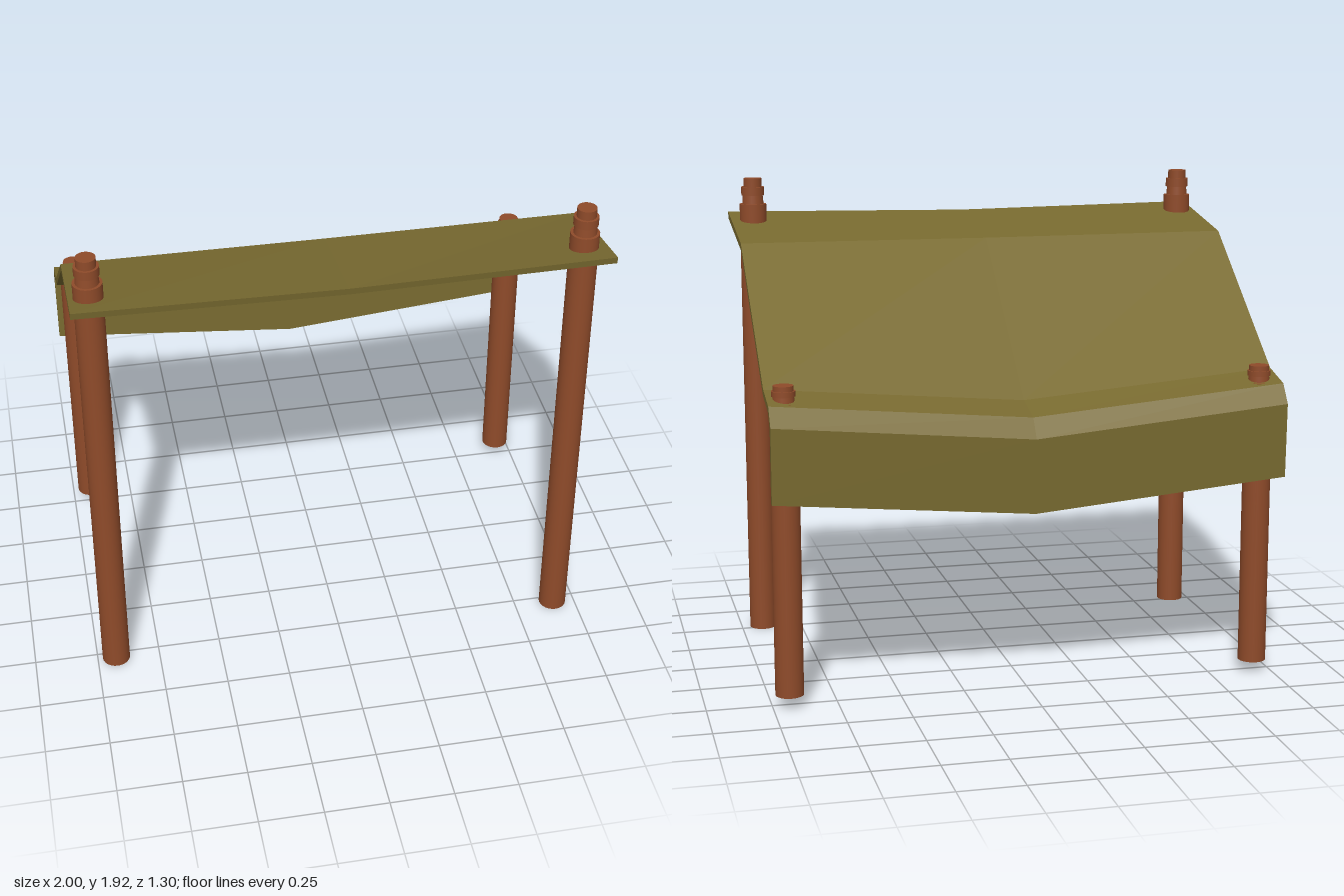
import * as THREE from 'three';

const wood = new THREE.MeshStandardMaterial({ color: 0x8f4b2a });
const cloth = new THREE.MeshStandardMaterial({ color: 0x786a30, flatShading: true });

// Canopy profile, front to back: [z, y] above and below, and the sag at mid-span
const upper = [[0.652, 1.772], [0.19, 1.69], [-0.45, 1.218], [-0.595, 1.182], [-0.648, 1.11], [-0.64, 0.82]];
const lower = [[0.648, 1.745], [0.19, 1.662], [-0.44, 1.192], [-0.583, 1.158], [-0.623, 1.1], [-0.615, 0.82]];
const sag = [0.015, 0.003, 0.085, 0.088, 0.09, 0.09];

function makeCanopy() {
  const n = upper.length;
  const section = (x) => {
    const at = (row) => row.map(([z, y], j) => [x, y - sag[j] * (1 - Math.abs(x)), z]);
    return [...at(upper), ...at(lower).reverse()];
  };
  const sections = [-1, 0, 1].map(section);
  const pos = [];
  const quad = (a, b, c, d) => pos.push(...a, ...b, ...c, ...a, ...c, ...d);

  // Skin around the profile
  for (let i = 0; i < 2; i++) {
    const s = sections[i], t = sections[i + 1];
    for (let j = 0; j < 2 * n; j++) {
      const k = (j + 1) % (2 * n);
      quad(s[j], t[j], t[k], s[k]);
    }
  }
  // Side edges
  const [l, , r] = sections;
  for (let j = 0; j < n - 1; j++) {
    const p = 2 * n - 1 - j;
    quad(l[j], l[j + 1], l[p - 1], l[p]);
    quad(r[j], r[p], r[p - 1], r[j + 1]);
  }
  const geo = new THREE.BufferGeometry();
  geo.setAttribute('position', new THREE.Float32BufferAttribute(pos, 3));
  geo.computeVertexNormals();
  const mesh = new THREE.Mesh(geo, cloth);
  mesh.name = 'canopy';
  return mesh;
}

// Post of stacked cylinders: tiers are [bottom y, top y, bottom radius, top radius]
function makePost(name, x, z, tiers) {
  const post = new THREE.Group();
  post.name = name;
  tiers.forEach(([y0, y1, r0, r1], i) => {
    const mesh = new THREE.Mesh(new THREE.CylinderGeometry(r1, r0, y1 - y0, 24), wood);
    mesh.position.y = (y0 + y1) / 2;
    mesh.name = ['shaft', 'neck', 'collar', 'tip'][i];
    post.add(mesh);
  });
  post.position.set(x, 0, z);
  return post;
}

export function createModel() {
  const group = new THREE.Group();
  group.name = 'canopyShelter';
  group.add(makeCanopy());

  const tall = [[0, 1.815, 0.055, 0.055], [1.815, 1.85, 0.044, 0.041], [1.85, 1.885, 0.047, 0.047], [1.885, 1.92, 0.037, 0.037]];
  const short = [[0.05, 1.18, 0.055, 0.055], [1.18, 1.205, 0.042, 0.04], [1.205, 1.225, 0.045, 0.045], [1.225, 1.245, 0.039, 0.039]];
  group.add(
    makePost('frontRightPost', -0.925, 0.525, tall),
    makePost('frontLeftPost', 0.91, 0.525, tall),
    makePost('backRightPost', -0.925, -0.525, short),
    makePost('backLeftPost', 0.935, -0.525, short),
  );
  return group;
}
